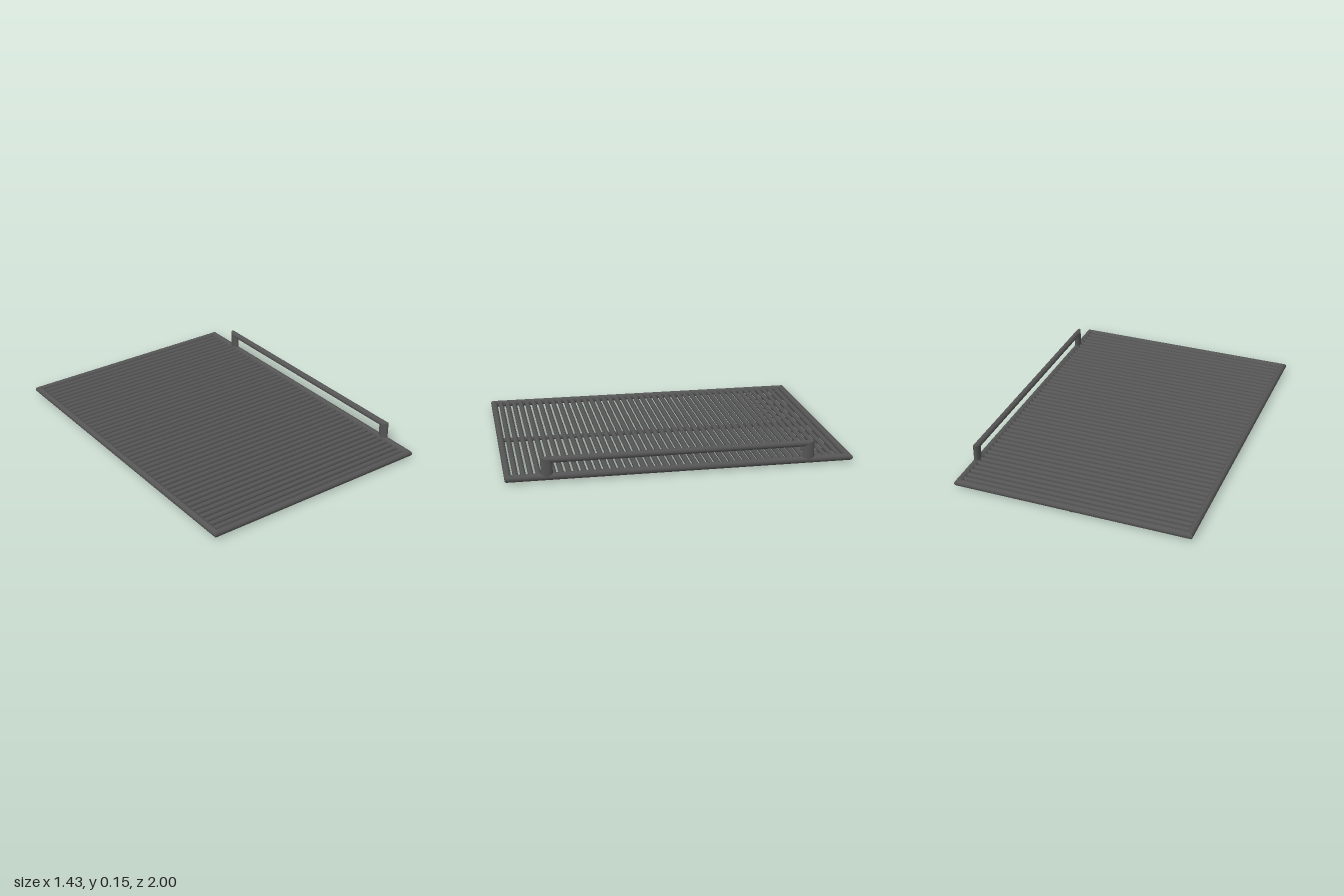
import * as THREE from 'three';

const metal = new THREE.MeshStandardMaterial({ color: 0x555555 });

// Round bar along y, with half widths a (x) and b (z).
// Each end can be cut at a slope that follows the x offset, for mitred joints.
function bar(name, length, a, b, bottomSlope = 0, topSlope = 0, sides = 16) {
  const g = new THREE.CylinderGeometry(1, 1, length, sides);
  const p = g.attributes.position;
  g.scale(a, 1, b);
  for (let i = 0; i < p.count; i++) {
    const slope = p.getY(i) > 0 ? topSlope : bottomSlope;
    p.setY(i, p.getY(i) + slope * p.getX(i));
  }
  const mesh = new THREE.Mesh(g, metal);
  mesh.name = name;
  return mesh;
}

export function createModel() {
  const model = new THREE.Group();
  model.name = 'grillGrate';
  const R = 0.02, Y = 0.029;
  const X = 0.715 - R, Z = 1 - R;

  // Outer frame: four bars with mitred corners
  const frame = new THREE.Group();
  frame.name = 'frame';
  for (const s of [1, -1]) {
    const side = bar(s > 0 ? 'leftFrameBar' : 'rightFrameBar', 2 * Z, R, R, -s, s);
    side.rotation.x = Math.PI / 2;
    side.position.set(s * X, Y, 0);
    const end = bar(s > 0 ? 'frontFrameBar' : 'backFrameBar', 2 * X, R, R, -1, 1);
    end.rotation.z = -Math.PI / 2;
    const holder = new THREE.Group();
    holder.name = s > 0 ? 'frontFrame' : 'backFrame';
    // turn the bar so that the long side of the mitre faces outwards
    end.rotation.set(0, 0, Math.PI / 2);
    holder.add(end);
    holder.rotation.x = s * Math.PI / 2;
    holder.position.set(0, Y, s * Z);
    frame.add(side, holder);
  }
  model.add(frame);

  // Cooking rods running across the frame
  const rods = new THREE.Group();
  rods.name = 'rods';
  const count = 45, pitch = 0.0425;
  for (let i = 0; i < count; i++) {
    const rod = bar('rod', 2 * X, 0.0155, 0.0155, 0, 0, 12);
    rod.rotation.z = Math.PI / 2;
    rod.position.set(0, Y, (i - (count - 1) / 2) * pitch);
    rods.add(rod);
  }
  model.add(rods);

  // Support rod under the middle
  const support = bar('supportRod', 1.94, 0.015, 0.013, 0, 0, 12);
  support.rotation.x = Math.PI / 2;
  support.position.set(-0.004, 0.013, -0.01);
  model.add(support);

  // Raised handle: grip bar mitred into two wider posts
  const handle = new THREE.Group();
  handle.name = 'handle';
  const grip = 0.0185, post = 0.034, depth = 0.0175;
  const top = 0.147 - grip, front = 0.8 - post, back = -0.77 + post;
  const hx = 0.697;
  const gripBar = bar('handleGrip', front - back, grip, depth, -post / grip, post / grip);
  // local x becomes up, local y becomes z
  gripBar.rotation.set(Math.PI / 2, 0, Math.PI / 2, 'XYZ');
  gripBar.setRotationFromMatrix(new THREE.Matrix4().makeBasis(
    new THREE.Vector3(0, 1, 0), new THREE.Vector3(0, 0, 1), new THREE.Vector3(1, 0, 0)));
  gripBar.position.set(hx, top, (front + back) / 2);
  handle.add(gripBar);
  for (const [z, s] of [[front, 1], [back, -1]]) {
    const h = top - Y;
    const leg = bar(s > 0 ? 'frontHandlePost' : 'backHandlePost', h, post, depth, 0, s * grip / post);
    // local x becomes z
    leg.rotation.y = -Math.PI / 2;
    leg.position.set(hx, Y + h / 2, z);
    handle.add(leg);
  }
  model.add(handle);
  return model;
}
